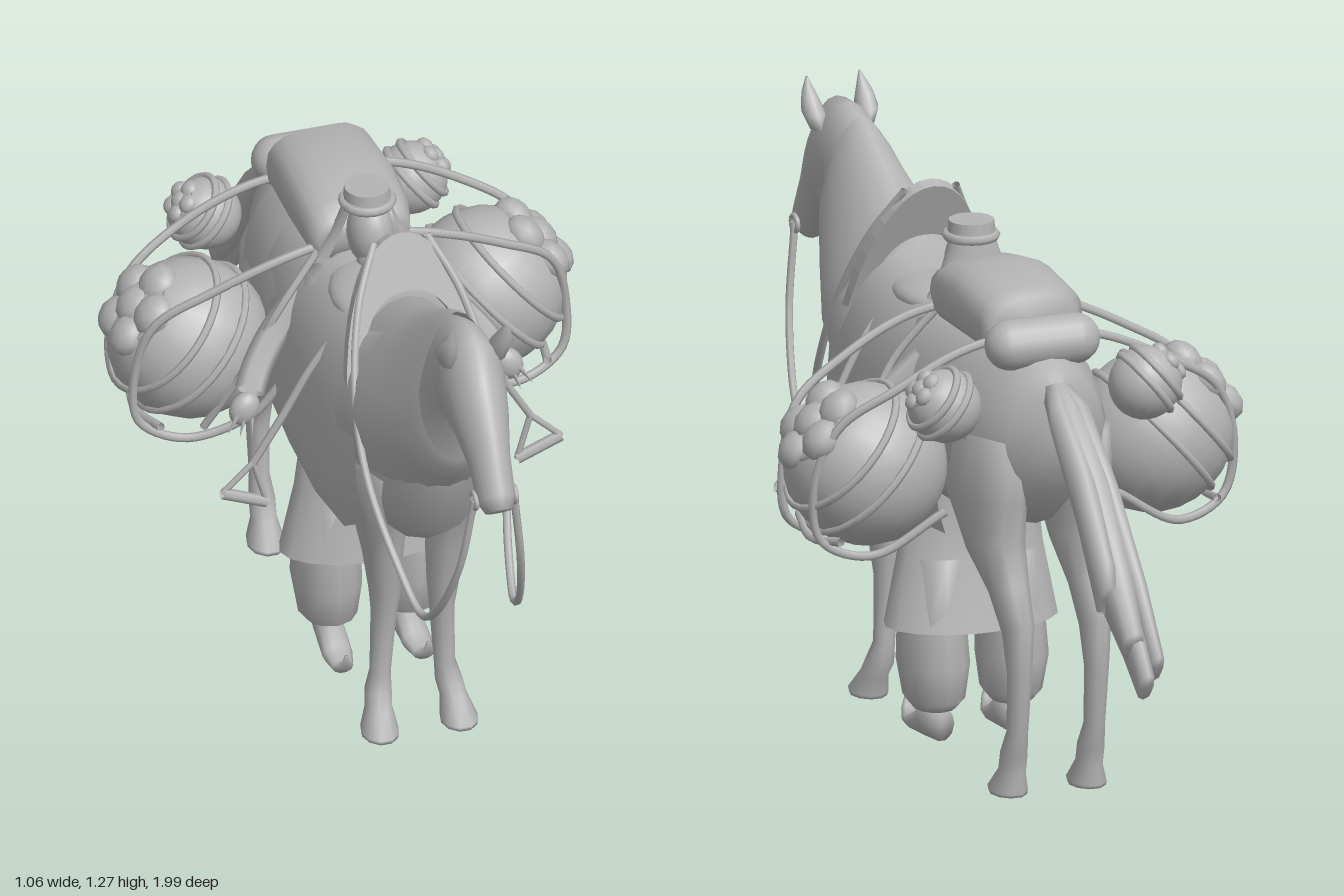
import * as THREE from 'three';

const grey = new THREE.MeshStandardMaterial({ color: 0xb4b4b4, side: THREE.DoubleSide });
grey.name = 'plain grey';
const V = (x, y, z) => new THREE.Vector3(x, y, z);

export function createModel() {
  const root = new THREE.Group();
  const add = (name, geo, pos = [0, 0, 0], scale = [1, 1, 1], rot = [0, 0, 0], parent = root) => {
    const m = new THREE.Mesh(geo, grey);
    m.name = name;
    m.position.set(...pos); m.scale.set(...scale); m.rotation.set(...rot);
    parent.add(m);
    return m;
  };

  // Skin over rings; each ring is [zA, yA, zB, yB, halfWidth, xCentre], A and B being its two extremes.
  // pow squares the ring off, egg narrows it toward A, from/to leave it open.
  const loft = (rings, { n = 16, pow = 1, egg = 0, from = 0, to = 360, cap = true } = {}) => {
    const closed = to - from === 360, cols = closed ? n : n + 1, pos = [], idx = [];
    const bend = v => Math.sign(v) * Math.abs(v) ** pow;
    for (const [za, ya, zb, yb, rx, xc = 0] of rings) for (let j = 0; j < cols; j++) {
      const a = THREE.MathUtils.degToRad(from + (to - from) * j / n);
      const c = bend(Math.cos(a)), s = bend(Math.sin(a));
      pos.push(xc + c * rx * (1 - egg * Math.max(0, s)), (ya + yb) / 2 + s * (ya - yb) / 2, (za + zb) / 2 + s * (za - zb) / 2);
    }
    for (let i = 0; i < rings.length - 1; i++) for (let j = 0; j < n; j++) {
      const k = (j + 1) % cols, a = i * cols + j, b = i * cols + k;
      idx.push(a, b, b + cols, a, b + cols, a + cols);
    }
    if (closed && cap) [0, rings.length - 1].forEach((i, end) => {
      const [za, ya, zb, yb, , xc = 0] = rings[i], c = pos.length / 3;
      pos.push(xc, (ya + yb) / 2, (za + zb) / 2);
      for (let j = 0; j < n; j++) {
        const p = i * cols + j, q = i * cols + (j + 1) % n;
        end ? idx.push(c, p, q) : idx.push(c, q, p);
      }
    });
    const g = new THREE.BufferGeometry();
    g.setAttribute('position', new THREE.Float32BufferAttribute(pos, 3));
    g.setIndex(idx);
    g.computeVertexNormals();
    return g;
  };
  const cord = (name, pts, r, parent) =>
    add(name, new THREE.TubeGeometry(new THREE.CatmullRomCurve3(pts.map(p => V(...p))), pts.length * 7, r, 6), [0, 0, 0], [1, 1, 1], [0, 0, 0], parent);
  const ball = new THREE.SphereGeometry(1, 20, 14);
  const lump = new THREE.IcosahedronGeometry(1, 1);

  // Horse trunk, neck and head in one skin, from rump to muzzle
  add('horseBody', loft([
    [-.475, .93, -.475, .8, .03], [-.45, .965, -.46, .68, .11], [-.33, 1.01, -.34, .58, .165], [-.15, 1, -.15, .54, .18],
    [.1, .99, .1, .53, .185], [.25, 1.01, .3, .525, .178], [.38, 1.05, .46, .52, .155], [.46, 1.09, .57, .6, .125],
    [.53, 1.13, .62, .77, .1], [.6, 1.18, .66, .88, .082], [.66, 1.21, .7, .95, .07], [.72, 1.235, .72, 1, .066],
    [.8, 1.23, .77, .985, .073], [.86, 1.16, .82, .965, .062], [.93, 1.05, .87, .925, .046], [.985, .95, .91, .88, .042],
    [.998, .92, .935, .87, .03],
  ], { n: 20, egg: .1 }));

  // Neck covering and saddle cloth
  add('neckCover', loft([
    [.3, 1.045, .42, .6, .18], [.42, 1.09, .56, .68, .16], [.52, 1.145, .64, .78, .128], [.61, 1.2, .68, .83, .105],
    [.66, 1.222, .69, .86, .09],
  ], { n: 20, egg: .25, cap: false }));
  add('saddleCloth', loft([
    [-.2, .995, -.2, .44, .18], [0, .995, 0, .425, .195], [.2, 1.01, .2, .415, .2], [.34, 1.03, .37, .42, .185],
    [.4, 1.06, .49, .5, .165],
  ], { n: 20, pow: .75, egg: .15, from: -35, to: 215 }));

  // Tail: flat overlapping hanks with ragged ends, [x at tip, end length, drop, half thickness]
  [[.015, 0, 0, .034], [.045, -.07, .02, .024], [-.03, .025, -.025, .022], [0, .04, -.045, .024]].forEach(([x, e, d, w]) =>
    add('tailHank', loft([
      [-.95 - e, .5 + d - e, -.91 - e, .435 + d - e, w * .7, x], [-.86, .62 + d, -.84, .49 + d, w, x],
      [-.7, .79 + d / 2, -.715, .655 + d / 2, w * 1.2, x * .75], [-.54, .91, -.585, .8, w * 1.25, x * .6], [-.44, .945, -.46, .86, .03, 0],
    ], { n: 8, pow: .75 })));

  for (const s of [1, -1]) {
    const side = new THREE.Group();
    side.name = s > 0 ? 'leftSide' : 'rightSide';
    root.add(side);
    const put = (name, geo, pos, scale, rot) => add(name, geo, [s * pos[0], pos[1], pos[2]], scale, rot, side);
    const rope = (name, pts, r) => cord(name, pts.map(p => [s * p[0], p[1], p[2]]), r, side);

    // Horse legs and ears
    put('frontLeg', loft([
      [.52, .72, .26, .72, .07, s * .1], [.45, .55, .28, .55, .06, s * .08], [.42, .45, .305, .45, .046, s * .072],
      [.405, .35, .315, .33, .035, s * .066], [.385, .28, .32, .28, .029, s * .066], [.375, .13, .325, .13, .024, s * .073],
      [.395, .09, .32, .08, .03, s * .08], [.41, .06, .34, .05, .03, s * .085], [.455, .012, .345, .008, .042, s * .09], [.45, 0, .35, 0, .04, s * .09],
    ], { n: 10 }), [0, 0, 0]);
    put('hindLeg', loft([
      [-.12, .8, -.45, .8, .07, s * .1], [-.14, .64, -.46, .66, .07, s * .1], [-.26, .52, -.435, .57, .06, s * .098],
      [-.355, .44, -.47, .48, .042, s * .093], [-.41, .36, -.505, .4, .033, s * .09], [-.435, .28, -.495, .28, .027, s * .09],
      [-.425, .15, -.48, .15, .023, s * .09], [-.4, .1, -.465, .09, .03, s * .09], [-.39, .06, -.455, .05, .03, s * .09],
      [-.345, .012, -.46, .008, .042, s * .092], [-.35, 0, -.455, 0, .04, s * .092],
    ], { n: 10 }), [0, 0, 0]);
    put('ear', loft([
      [.8, 1.17, .745, 1.17, .018, s * .055], [.815, 1.215, .75, 1.2, .027, s * .062], [.82, 1.245, .775, 1.23, .018, s * .064], [.822, 1.275, .815, 1.27, .003, s * .062],
    ].reverse(), { n: 8 }), [0, 0, 0]);
    put('jaw', ball, [.024, 1.06, .775], [.036, .072, .06]);

    // Bridle and rein, running along the neck to the saddle
    put('bitRing', new THREE.TorusGeometry(.018, .006, 6, 12), [.045, .91, .93], [1, 1, 1], [0, Math.PI / 2, 0]);
    rope('rein', [[.045, .91, .93], [.07, .72, .9], [.095, .56, .81], [.105, .515, .74], [.125, .58, .64], [.155, .73, .52], [.155, .88, .43], [.115, 1.06, .33], [.06, 1.17, .265]], .009);

    // Stirrup strap and triangular stirrup
    rope('stirrupStrap', [[.1, .97, .22], [.19, .84, .215], [.25, .73, .21], [.315, .62, .205]], .009);
    const corners = [[.315, .62, .205], [.385, .555, .205], [.285, .515, .205]];
    corners.forEach((p, i) => rope('stirrup', [p, corners[(i + 1) % 3]], i === 1 ? .013 : .007));

    // Rider's arm, hand and fingers
    rope('sleeve', [[.13, .88, -.02], [.2, .81, 0], [.25, .755, .035], [.28, .715, .07]], .034);
    put('hand', ball, [.3, .69, .095], [.032, .04, .025], [0, 0, s * .5]);
    for (const k of [0, 1, 2])
      put('finger', new THREE.ConeGeometry(.009, .06, 5), [.29 + k * .02, .655 + k * .008, .115], [1, 1, 1], [-.4, 0, Math.PI + s * (.1 + k * .25)]);

    // Rider's baggy trouser and curled shoe
    put('trouser', loft([
      [.11, .42, -.05, .42, .06, s * .085], [.125, .28, -.06, .28, .072, s * .092], [.125, .18, -.075, .18, .077, s * .092],
      [.11, .1, -.06, .1, .065, s * .09], [.07, .075, -.03, .075, .045, s * .09],
    ], { n: 12 }), [0, 0, 0]);
    put('shoe', loft([
      [-.015, .08, -.01, .004, .028, s * .085], [.05, .085, .05, 0, .034, s * .088], [.1, .045, .1, 0, .034, s * .09],
      [.14, .03, .15, .004, .024, s * .092], [.165, .04, .178, .03, .012, s * .093], [.17, .062, .178, .06, .004, s * .093],
    ], { n: 10 }), [0, 0, 0]);

    // Round bags: tilted so the filled mouth points up and outward
    const bag = (name, c, r, mouth, lumpR, tilt) => {
      const g = new THREE.Group();
      g.name = name;
      g.position.set(s * c[0], c[1], c[2]);
      g.rotation.z = -s * tilt;
      side.add(g);
      add(name + 'Sack', ball, [0, 0, 0], [r * .98, r, r * .93], [0, 0, 0], g);
      add(name + 'Rim', new THREE.TorusGeometry(mouth, r * .05, 6, 20), [0, r * .83, 0], [1, 1, 1], [Math.PI / 2, 0, 0], g);
      for (let i = 0; i < 6; i++) {
        const a = i * Math.PI * .4, d = i < 5 ? mouth * .75 : 0;
        add(name + 'Contents', lump, [Math.cos(a) * d, r * (i < 5 ? .83 : .88), Math.sin(a) * d], [lumpR, lumpR * .75, lumpR], [0, a, 0], g);
      }
      // ropes round the sack
      const ring = new THREE.TorusGeometry(r, .009, 6, 32);
      add(name + 'Rope', ring, [0, 0, 0], [.98, .94, 1], [Math.PI / 2, 0, 0], g);
      add(name + 'Rope', ring, [0, r * .4, 0], [.91, .88, 1], [Math.PI / 2, 0, 0], g);
    };
    bag('largeBag', [.337, .71, -.185], .182, .088, .05, .85);
    bag('smallBag', [.235, .885, -.39], .082, .04, .022, .9);

    // Load ropes from the back down round the bags
    rope('frontLoadRope', [[0, 1.01, -.03], [.17, .98, -.02], [.33, .91, -.04], [.45, .83, -.07], [.49, .7, -.09], [.48, .58, -.09], [.38, .53, -.07], [.24, .58, -.04], [.18, .66, -.02]], .01);
    rope('rearLoadRope', [[0, 1.01, -.31], [.17, .98, -.32], [.32, .91, -.32], [.44, .83, -.29], [.49, .7, -.27], [.47, .57, -.26], [.36, .53, -.28], [.2, .62, -.31]], .01);
    rope('slantRope', [[.08, 1.01, -.02], [.2, .86, .01], [.27, .7, -.02], [.34, .55, -.07]], .009);
    rope('lowerRope', [[.44, .575, -.06], [.46, .555, -.18], [.44, .575, -.3]], .01);
  }

  // Saddle: raked front arch and seat
  const arch = new THREE.Shape();
  arch.moveTo(-.16, 0); arch.bezierCurveTo(-.14, .2, -.08, .33, 0, .33); arch.bezierCurveTo(.08, .33, .14, .2, .16, 0);
  arch.lineTo(.13, 0); arch.bezierCurveTo(.11, .14, .07, .2, 0, .2); arch.bezierCurveTo(-.07, .2, -.11, .14, -.13, 0);
  add('saddleArch', new THREE.ExtrudeGeometry(arch, { depth: .028, bevelEnabled: false, curveSegments: 10 }), [0, .87, .36], [1, 1, 1], [-.36, 0, 0]);
  add('saddleSeat', ball, [0, .965, .16], [.12, .045, .16]);

  // Bedroll and cross roll
  add('bedroll', loft([
    [-.335, 1.09, -.335, .96, .1], [-.31, 1.11, -.31, .95, .12], [-.15, 1.125, -.15, .95, .125], [-.04, 1.105, -.04, .95, .12], [.01, 1.08, .01, .97, .105],
  ], { n: 20, pow: .75 }));
  add('crossRoll', new THREE.CapsuleGeometry(.056, .15, 6, 16), [0, 1, -.375], [1, 1, 1], [0, 0, Math.PI / 2]);

  // Rider's robe, neck and head
  add('robe', loft([
    [.06, .99, -.04, .99, .06], [.09, .95, -.06, .95, .13], [.11, .8, -.05, .8, .185], [.11, .55, -.03, .55, .155],
    [.12, .42, -.045, .42, .17], [.145, .27, -.08, .26, .2],
  ], { n: 18, cap: false }));
  add('head', ball, [0, 1.06, .05], [.05, .08, .062]);
  add('nose', new THREE.ConeGeometry(.014, .045, 6), [0, 1.06, .11], [1, 1, 1], [.3, 0, 0]);
  add('beard', ball, [0, 1, .075], [.036, .045, .042]);
  add('headCloth', loft([
    [.07, 1.15, -.02, 1.15, .045], [.07, 1.1, -.025, 1.1, .058], [.065, 1.05, -.03, 1.05, .078], [.07, 1, -.035, 1, .108],
  ], { n: 16, from: 150, to: 390 }));
  add('cap', new THREE.CylinderGeometry(.05, .053, .045, 16), [0, 1.142, .03]);
  add('headBand', new THREE.TorusGeometry(.053, .011, 6, 20), [0, 1.13, .032], [1, 1, 1], [Math.PI / 2, 0, 0]);

  return root;
}
